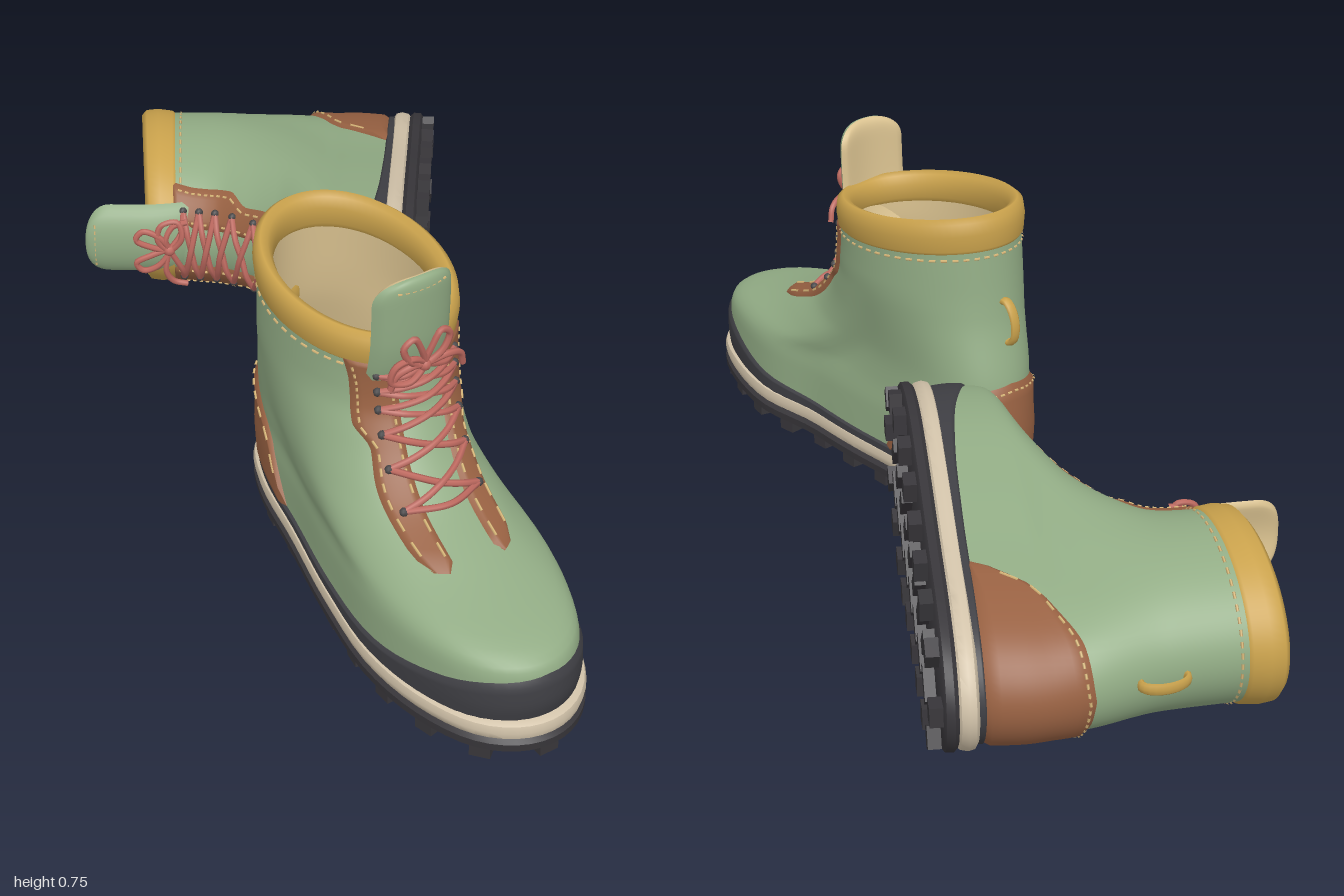
import * as THREE from 'three';
import { mergeGeometries, mergeVertices, toCreasedNormals } from 'three/addons/utils/BufferGeometryUtils.js';

const mat = (name, color) => Object.assign(new THREE.MeshStandardMaterial({ color }), { name });
const M = {
  green: mat('green canvas', 0x92ac85), brown: mat('brown leather', 0x986142), gold: mat('gold padding', 0xcaa24c),
  lining: mat('cream lining', 0xdac290), rand: mat('charcoal rubber', 0x3f3f44), sole: mat('black rubber', 0x38363a),
  welt: mat('pale welt', 0xd2c3aa), lace: mat('red lace', 0xbf6a60), thread: mat('thread', 0xdebc7c), metal: mat('dark metal', 0x4a4849),
};
const V = (x, y, z) => new THREE.Vector3(x, y, z);
const PI = Math.PI, mix = THREE.MathUtils.lerp, smooth = THREE.MathUtils.smoothstep;

// Smooth monotone lookup through [key, value] pairs
function tab(k, t) {
  const n = k.length - 1;
  if (t <= k[0][0]) return k[0][1];
  if (t >= k[n][0]) return k[n][1];
  let i = 0;
  while (k[i + 1][0] < t) i++;
  const s = j => (k[j + 1][1] - k[j][1]) / (k[j + 1][0] - k[j][0]);
  const m = j => {
    if (j === 0) return s(0);
    if (j === n) return s(n - 1);
    const a = s(j - 1), b = s(j);
    return a * b <= 0 ? 0 : 2 * a * b / (a + b);
  };
  const h = k[i + 1][0] - k[i][0], u = (t - k[i][0]) / h, u2 = u * u, u3 = u2 * u;
  return (2 * u3 - 3 * u2 + 1) * k[i][1] + (u3 - 2 * u2 + u) * h * m(i) + (3 * u2 - 2 * u3) * k[i + 1][1] + (u3 - u2) * h * m(i + 1);
}
const even = a => a.map((v, i) => [i / (a.length - 1), v]);

// Footprint: angle 0 is the heel, +-PI the toe; +x is the outer side
const OUTER = even([.235, .228, .198, .178, .195, .226, .245, .262, .262]);
const INNER = even([.235, .232, .2, .174, .17, .208, .22, .245, .262]);
const LEN = 1.055, mid = zn => -.02 + .07 * zn, along = a => (1 - Math.cos(a)) / 2;
const width = a => tab(a > 0 ? OUTER : INNER, Math.abs(a) / PI);
const foot = (a, y, g) => V(mid(along(a)) + Math.sin(a) * (width(a) + g), y, LEN * along(a) - Math.cos(a) * g);

// Upper: horizontal slices changing from footprint to ankle ellipse
const FRONT = [[.085, 1.03], [.13, 1.04], [.18, 1.037], [.205, 1.027], [.225, .99], [.25, .89], [.27, .82], [.33, .675], [.41, .59], [.48, .555], [.58, .545], [.68, .545]];
const BACK = [[.085, .025], [.18, .015], [.3, .03], [.45, .07], [.58, .086], [.68, .095]];
const SCALE = [[.085, .94], [.18, .93], [.25, .88], [.33, .83], [.5, .8]];
function skin(a, y) {
  const zn = along(a), m = smooth(y, .2, .52);
  const low = mid(zn) + Math.sin(a) * width(a) * tab(SCALE, y);
  return V(mix(low, Math.sin(a) * .168, m), y - .06 * smooth(y, .4, .68) * zn, mix(tab(BACK, y), tab(FRONT, y), zn));
}
function surf(a, y, off) {
  const p = skin(a, y);
  if (!off) return p;
  const up = skin(a, y + .003).sub(skin(a, y - .003)), side = skin(a + .01, y).sub(skin(a - .01, y));
  return p.addScaledVector(up.cross(side).normalize(), off);
}
// Angle at a sideways distance d from the front ridge
function ridgeAngle(d, y, s) {
  let lo = PI * .62, hi = PI;
  const x0 = skin(PI, y).x;
  for (let i = 0; i < 24; i++) {
    const a = (lo + hi) / 2;
    if (Math.abs(skin(s * a, y).x - x0) > d) lo = a; else hi = a;
  }
  return s * (lo + hi) / 2;
}
const ridge = (d, y, s, off) => surf(ridgeAngle(d, y, s), y, off);

// Surface grid from a rule f(u, v)
function grid(f, nu, nv, flip = false) {
  const pos = [], idx = [];
  for (let j = 0; j <= nv; j++) for (let i = 0; i <= nu; i++) pos.push(...f(i / nu, j / nv).toArray());
  for (let j = 0; j < nv; j++) for (let i = 0; i < nu; i++) {
    const a = j * (nu + 1) + i, b = a + nu + 1;
    if (flip) idx.push(a, a + 1, b, b, a + 1, b + 1);
    else idx.push(a, b, a + 1, b, b + 1, a + 1);
  }
  let g = new THREE.BufferGeometry();
  g.setAttribute('position', new THREE.Float32BufferAttribute(pos, 3));
  g.setIndex(idx);
  g = mergeVertices(g, 1e-5);
  g.computeVertexNormals();
  return g;
}
const turn = u => (u * 2 - 1) * PI;
const edge = (u, v) => Math.min(u, v, 1 - u, 1 - v) < 1e-6;
const tube = (pts, r, closed = false, n = 24) => new THREE.TubeGeometry(new THREE.CatmullRomCurve3(pts, closed), n, r, 6, closed);
const stitches = (f, n) => Array.from({ length: n }, (_, i) => new THREE.TubeGeometry(new THREE.LineCurve3(f(i / n), f((i + .55) / n)), 1, .003, 4));
// Ring layers from [height, growth] rows
const layers = rows => toCreasedNormals(grid((u, v) => {
  const [y, g] = rows[Math.round(v * (rows.length - 1))];
  return g === null ? V(.01, y, .5) : foot(turn(u), y, g);
}, 72, rows.length - 1), .7);

function createBoot(name, mirrored) {
  const boot = new THREE.Group();
  boot.name = name;
  const add = (part, geo, material) => {
    if (mirrored) {
      geo.scale(-1, 1, 1);
      if (!geo.index) geo.setIndex(Array.from({ length: geo.attributes.position.count }, (_, i) => i));
      const ix = geo.index.array;
      for (let i = 0; i < ix.length; i += 3) [ix[i], ix[i + 1]] = [ix[i + 1], ix[i]];
    }
    const mesh = new THREE.Mesh(geo, material);
    mesh.name = part;
    boot.add(mesh);
  };

  // Sole, welt and tread
  add('outsole', layers([[.026, null], [.026, -.008], [.031, 0], [.047, .001], [.055, -.008]]), M.sole);
  add('welt', layers([[.053, -.012], [.059, -.003], [.074, .001], [.087, -.003], [.093, -.014], [.093, -.07]]), M.welt);
  const rim = new THREE.CatmullRomCurve3(Array.from({ length: 48 }, (_, i) => foot(turn(i / 48), .014, -.034)), true);
  const lugs = [];
  for (let i = 0; i < 20; i++) {
    const p = rim.getPointAt(i / 20), t = rim.getTangentAt(i / 20);
    lugs.push(new THREE.BoxGeometry(.044, .028, .04).rotateY(Math.atan2(t.x, t.z)).translate(p.x, p.y, p.z));
  }
  for (let i = 0; i < 8; i++) for (const s of [-1, 1]) {
    const z = .19 + i * .095;
    lugs.push(new THREE.BoxGeometry(.075, .024, .03).rotateY(s * .75).translate(mid(z / LEN) + s * .046, .016, z));
  }
  add('treadLugs', mergeGeometries(lugs), M.sole);

  // Upper shell, rubber rand and heel counter
  add('upper', grid((u, v) => v > .999 ? surf(turn(u), .67, -.02) : surf(turn(u), mix(.085, .67, v * 64 / 63), 0), 80, 64), M.green);
  const randTop = even([.108, .106, .105, .105, .108, .122, .152, .178, .186]);
  add('rand', grid((u, v) => surf(turn(u), mix(.087, tab(randTop, Math.abs(turn(u)) / PI), v), v === 1 ? 0 : .006), 80, 8), M.rand);
  const counterTop = [[0, .31], [.5, .295], [.85, .24], [1.08, .105]];
  const counterA = u => (u * 2 - 1) * 1.08;
  add('heelCounter', grid((u, v) => surf(counterA(u), mix(.1, tab(counterTop, Math.abs(counterA(u))), v), edge(u, v) ? 0 : .009), 40, 12), M.brown);

  // Lace panels with eyelets
  const outerEdge = [[.272, .085], [.285, .102], [.34, .106], [.4, .1], [.44, .118], [.54, .118], [.62, .126]];
  const innerEdge = [[.272, .06], [.282, .045], [.34, .045], [.62, .05]];
  const rowY = i => .322 + i * .052, eyelets = [], laces = [], threads = [];
  for (const s of [-1, 1]) {
    add('lacePanel', grid((u, v) => {
      const y = mix(.272, .615, v), d = mix(tab(innerEdge, y), tab(outerEdge, y), s > 0 ? 1 - u : u);
      return ridge(d, y, s, edge(u, v) ? 0 : .008);
    }, 8, 40), M.brown);
    for (let i = 0; i < 6; i++) {
      const p = ridge(.08, rowY(i), s, .009);
      eyelets.push(new THREE.SphereGeometry(.009, 8, 6).translate(p.x, p.y, p.z));
    }
    for (let i = 0; i < 5; i++)
      laces.push(tube([ridge(.08, rowY(i), s, .01), ridge(.04, rowY(i + .25), s, .013), ridge(0, rowY(i + .5), s, s > 0 ? .017 : .009),
        ridge(.04, rowY(i + .75), -s, .013), ridge(.08, rowY(i + 1), -s, .01)], .0068));
    for (const [e, k] of [[outerEdge, -.011], [innerEdge, .01]])
      threads.push(...stitches(t => { const y = mix(.283, .605, t); return ridge(tab(e, y) + k, y, s, .0085); }, 16));
  }
  add('eyelets', mergeGeometries(eyelets), M.metal);

  // Laces and bow
  laces.push(tube([ridge(.08, rowY(0), 1, .01), ridge(0, rowY(0), 1, .013), ridge(.08, rowY(0), -1, .01)], .0068));
  const knot = V(.012, .568, .572);
  for (const s of [-1, 1]) {
    laces.push(tube([ridge(.08, rowY(5), s, .01), ridge(.04, rowY(5.1), s, .018), knot], .0068));
    laces.push(tube([knot, V(.012 + s * .012, .61, .58), V(.012 + s * .03, .64, .583), V(.012 + s * .05, .625, .58), V(.012 + s * .036, .59, .578)], .0068, true, 32));
    laces.push(tube([knot, V(s * .04, .575, .576), V(s * .07, .56, .568), V(s * .08, .53, .562)], .0068));
  }
  laces.push(tube([knot, V(.04, .592, .578), V(.075, .585, .574), V(.082, .55, .568), V(.045, .54, .574)], .0068, true, 32));
  laces.push(new THREE.SphereGeometry(.013, 10, 8).translate(knot.x, knot.y, knot.z));
  add('laces', mergeGeometries(laces), M.lace);

  // Tongue, green outside and cream inside
  const tongueZ = [[.5, .515], [.56, .538], [.62, .549], [.75, .556]];
  const tongue = (u, v, side) => {
    const w = Math.sin(v * PI / 2), k = u * 2 - 1, r = Math.max(0, (w - .78) / .22);
    const x = k * .086 * Math.pow(Math.max(0, 1 - r ** 2.4), 1 / 2.4), y = mix(.5, .755, w);
    return V(x + .014, y, tab(tongueZ, y) - 3 * x * x + side * .016 * Math.sqrt(Math.max(0, (1 - k ** 4) * (1 - r ** 4))));
  };
  add('tongueFront', grid((u, v) => tongue(u, v, 1), 20, 28, true), M.green);
  add('tongueBack', grid((u, v) => tongue(u, v, -1), 20, 28), M.lining);
  threads.push(...stitches(t => { const x = mix(-.055, .055, t); return V(x + .014, .732, .568 - 3 * x * x); }, 8));

  // Padded collar and lining
  const roll = [[.604, 0], [.611, .005], [.645, .009], [.672, .006], [.682, -.006], [.676, -.02], [.655, -.029], [.62, -.03], [.6, -.018]];
  add('collar', grid((u, v) => surf(turn(u), ...roll[Math.round(v * 8)]), 72, 8), M.gold);
  add('lining', grid((u, v) => {
    if (v > .999) return V(0, .13, .32);
    const p = surf(turn(u), mix(.13, .665, 1 - v * 30 / 29), -.021);
    p.z = Math.min(p.z, .57);
    return p;
  }, 64, 30), M.lining);

  // Stitching and heel loop
  threads.push(...stitches(t => surf((t * 2 - 1) * 2.5, .59, .001), 40));
  threads.push(...stitches(t => {
    const a = (t * 2 - 1) * 1.02;
    return surf(a, tab(counterTop, Math.abs(a)) - .014, .009);
  }, 24));
  add('stitching', mergeGeometries(threads), M.thread);
  add('heelLoop', new THREE.TorusGeometry(.042, .007, 8, 24).rotateY(PI / 2).scale(1.8, 1.1, .6).rotateX(.22).translate(0, .44, .064), M.gold);
  return boot;
}

export function createModel() {
  const model = new THREE.Group();
  model.name = 'hikingBoots';
  // Standing boot
  const standing = createBoot('standingBoot', true);
  standing.position.set(-.286, 0, -.046);
  standing.rotation.y = -.105;
  // Boot lying on its inner side, sole outward
  const lying = createBoot('lyingBoot', false);
  lying.quaternion.setFromRotationMatrix(new THREE.Matrix4().makeBasis(V(0, 1, 0), V(-.751, 0, -.66), V(-.66, 0, .751)));
  lying.rotateZ(-.022).rotateY(.01);
  lying.position.set(.615, .164, -.614);
  model.add(standing, lying);
  return model;
}
